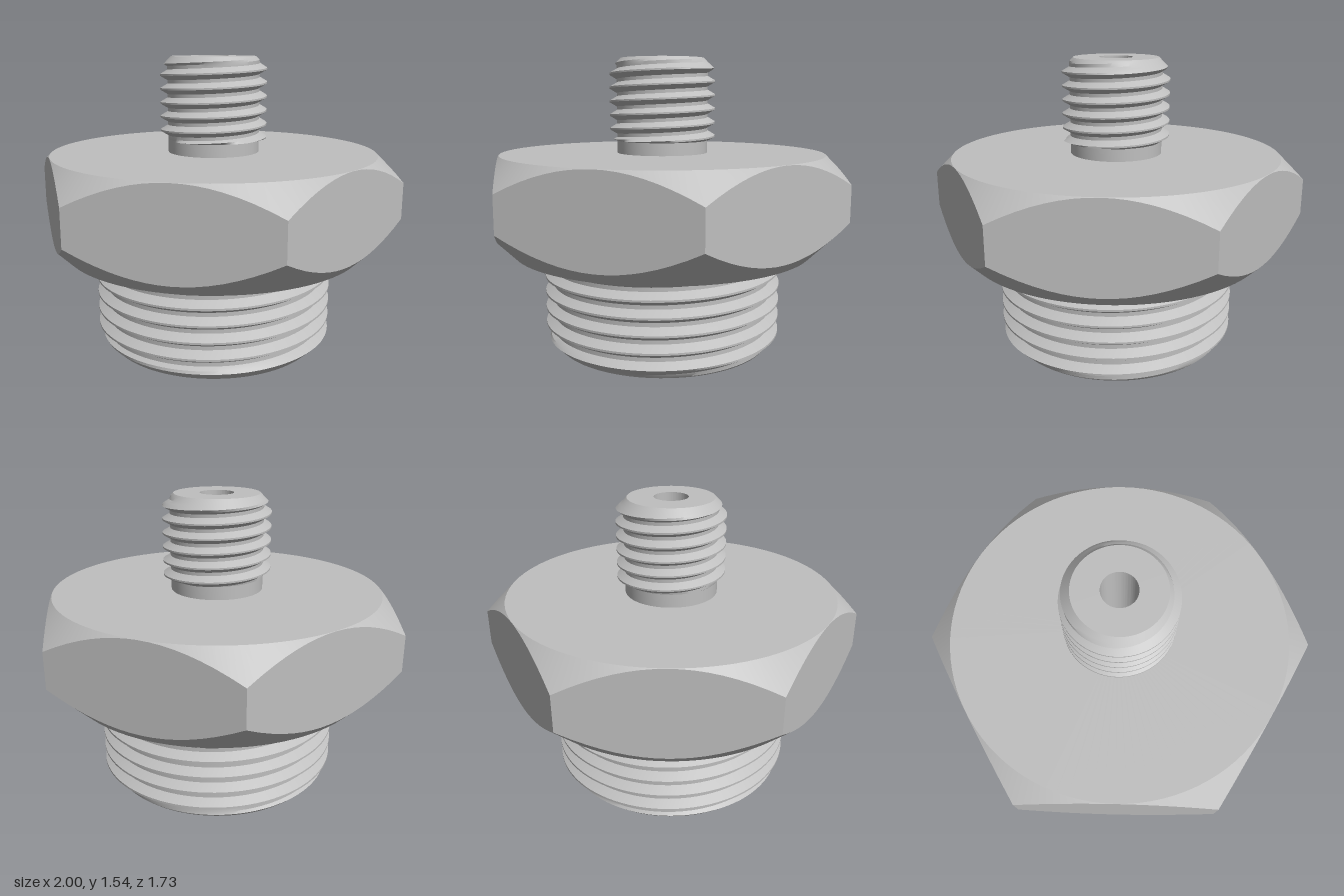
import * as THREE from 'three';
import { toCreasedNormals } from 'three/addons/utils/BufferGeometryUtils.js';

const SEGMENTS = 96;
const CREASE = 0.45;
const BORE = 0.088;

// Surface of revolution from [radius, height] pairs, with sharp edges kept
function turned(points, adjust) {
  const geo = new THREE.LatheGeometry(points.map(([r, y]) => new THREE.Vector2(r, y)), SEGMENTS);
  if (adjust) adjust(geo.attributes.position, points.length);
  return toCreasedNormals(geo, CREASE);
}

// Right-handed helical thread between two heights; limit(y) trims its ends
function thread({ y0, y1, crest, root, pitch, phase, limit }) {
  const stops = [0.06, 0.22, 0.38, 0.62, 0.78, 0.94];
  const radius = (u, y) => {
    const d = Math.min(u, 1 - u);
    const k = THREE.MathUtils.clamp((d - 0.06) / 0.32, 0, 1);
    return Math.min(THREE.MathUtils.lerp(crest, root, k), limit(y));
  };
  const rows = [];
  const first = Math.floor((y0 - phase) / pitch) - 2;
  const last = Math.ceil((y1 - phase) / pitch) + 1;
  for (let turn = first; turn <= last; turn++) for (const s of stops) rows.push(turn + s);

  const positions = [], index = [], w = SEGMENTS + 1;
  rows.forEach((row, j) => {
    for (let i = 0; i <= SEGMENTS; i++) {
      const f = i / SEGMENTS, t = f * Math.PI * 2;
      const y = THREE.MathUtils.clamp(phase + pitch * (row + f), y0, y1);
      const u = THREE.MathUtils.euclideanModulo((y - phase) / pitch - f, 1);
      const r = radius(u, y);
      positions.push(r * Math.cos(t), y, -r * Math.sin(t));
      if (j < rows.length - 1 && i < SEGMENTS) {
        const a = j * w + i;
        index.push(a, a + 1, a + w + 1, a, a + w + 1, a + w);
      }
    }
  });
  const geo = new THREE.BufferGeometry();
  geo.setAttribute('position', new THREE.Float32BufferAttribute(positions, 3));
  geo.setIndex(index);
  return toCreasedNormals(geo, CREASE);
}

// Hexagonal nut body: two rows of the turned profile are pushed out to the
// hexagon, and follow the 45 degree chamfer cones in height
function hexGeometry() {
  const apothem = 0.866, topR = 0.865, bottomR = 0.81, top = 1.04, bottom = 0.525;
  const profile = [
    [0.59, 0.52], [0.66, 0.52], [0.66, 0.73], [0.785, 0.73], [0.785, bottom], // seal recess
    [bottomR, bottom], [1, 0.71], [1, 0.9], [topR, top], [0.2, top],
  ];
  return turned(profile, (pos, n) => {
    for (let i = 0; i <= SEGMENTS; i++) {
      const phi = (i / SEGMENTS) * Math.PI * 2;
      const off = phi - Math.round(phi / (Math.PI / 3)) * (Math.PI / 3);
      const R = apothem / Math.cos(off);
      const x = R * Math.sin(phi), z = R * Math.cos(phi);
      pos.setXYZ(i * n + 6, x, bottom + R - bottomR, z);
      pos.setXYZ(i * n + 7, x, top - (R - topR), z);
    }
  });
}

export function createModel() {
  const group = new THREE.Group();
  const steel = new THREE.MeshStandardMaterial({ color: 0xbfbfbf });
  steel.name = 'steel';
  const add = (name, geo) => {
    const mesh = new THREE.Mesh(geo, steel);
    mesh.name = name;
    group.add(mesh);
  };

  add('hexBody', hexGeometry());

  // Large lower thread, chamfered at the bottom
  add('lowerThread', thread({
    y0: 0, y1: 0.522, crest: 0.643, root: 0.597, pitch: 0.0866, phase: 0.492,
    limit: (y) => 0.583 + y,
  }));

  // Small upper thread, chamfered at the top and cut off at the neck
  add('upperThread', thread({
    y0: 1.105, y1: 1.54, crest: 0.282, root: 0.243, pitch: 0.072, phase: 1.476,
    limit: (y) => Math.min(0.223 + 1.54 - y, 0.24 + (y - 1.105) * 6),
  }));

  add('neck', turned([[0.242, 1.03], [0.242, 1.11]]));
  add('bottomFace', turned([[BORE, 0], [0.583, 0]]));
  add('topFace', turned([[0.223, 1.54], [BORE, 1.54]]));
  add('bore', turned([[BORE, 1.54], [BORE, 0]]));

  return group;
}
